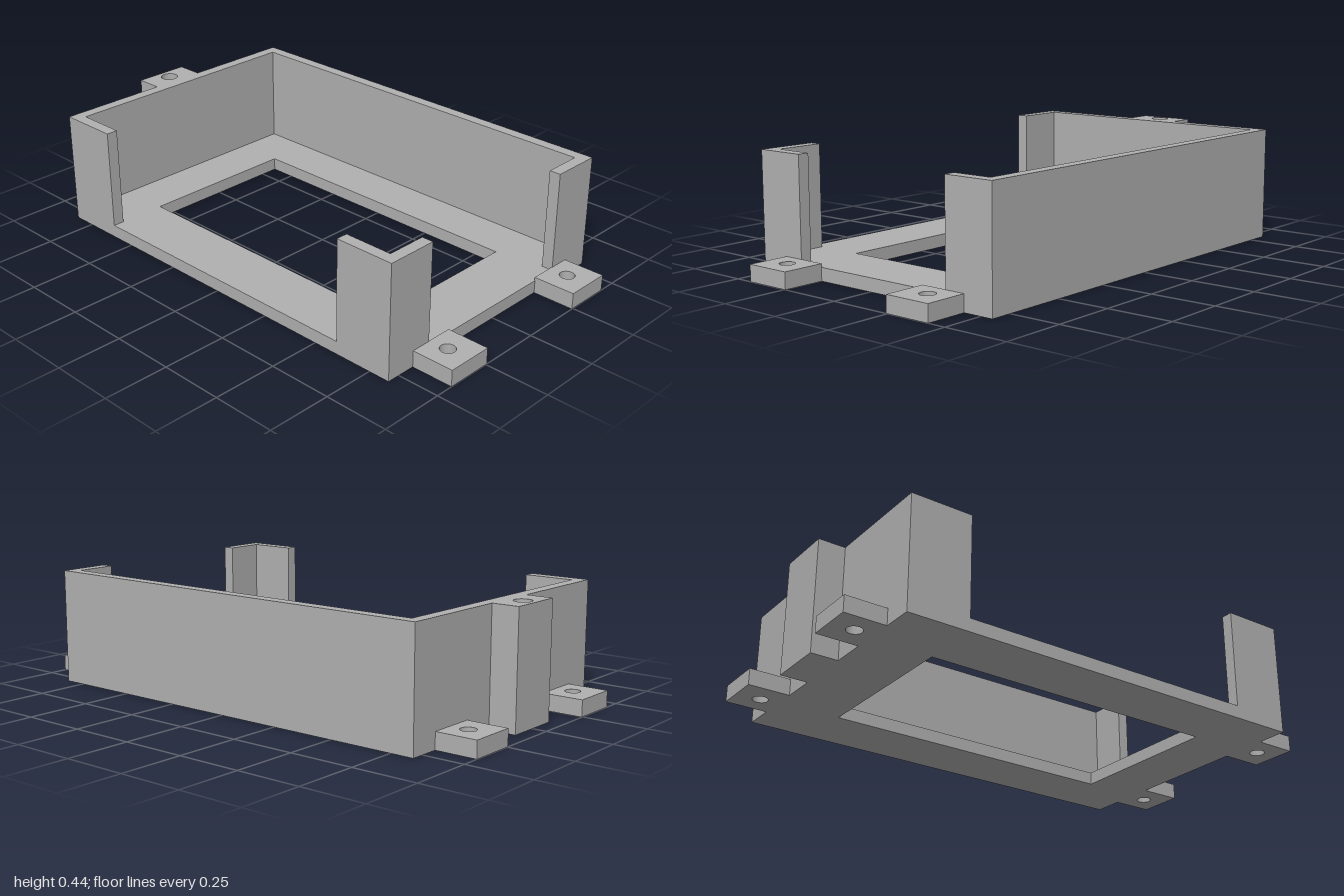
import * as THREE from 'three';

const H = 0.44;        // overall height
const FLOOR = 0.05;    // floor plate thickness
const TAB = 0.063;     // mounting tab thickness

export function createModel() {
  const group = new THREE.Group();
  const grey = new THREE.MeshStandardMaterial({ color: 0xb0b0b0 });
  grey.name = 'grey';

  // Plan outline given as [x, z] corners
  const outline = (pts) => new THREE.Shape(pts.map(([x, z]) => new THREE.Vector2(x, -z)));
  const rect = (x0, x1, z0, z1) => outline([[x0, z0], [x0, z1], [x1, z1], [x1, z0]]);
  const circle = (x, z, r) => new THREE.Path().absarc(x, -z, r, 0, Math.PI * 2, true);

  // Raise a plan outline from y0 to y1
  function slab(name, shape, y0, y1, holes = []) {
    shape.holes.push(...holes);
    const geo = new THREE.ExtrudeGeometry(shape, { depth: y1 - y0, bevelEnabled: false, curveSegments: 16 });
    geo.rotateX(-Math.PI / 2).translate(0, y0, 0);
    const mesh = new THREE.Mesh(geo, grey);
    mesh.name = name;
    group.add(mesh);
  }

  // Floor with a rectangular window
  slab('floor', rect(-0.55, 0.55, -0.84, 0.835), 0, FLOOR, [rect(-0.32, 0.32, -0.6, 0.6)]);

  // Back wall, full left wall, right rear return and left front return in one run
  slab('mainWall', outline([
    [-0.55, -0.6], [-0.505, -0.6], [-0.505, -0.795], [0.505, -0.795], [0.505, 0.79], [0.35, 0.79],
    [0.35, 0.835], [0.55, 0.835], [0.55, -0.84], [-0.55, -0.84],
  ]), FLOOR, H);

  // Free-standing corner at the right front
  slab('cornerWall', outline([
    [-0.55, 0.6], [-0.55, 0.835], [-0.35, 0.835], [-0.35, 0.79], [-0.505, 0.79], [-0.505, 0.6],
  ]), FLOOR, H);

  // Four mounting tabs with screw holes
  for (const sx of [-1, 1]) {
    for (const sz of [-1, 1]) {
      const inner = sz * 0.833;
      slab('mountingTab', rect(
        Math.min(sx * 0.245, sx * 0.43), Math.max(sx * 0.245, sx * 0.43),
        Math.min(inner, sz), Math.max(inner, sz),
      ), 0, TAB, [circle(sx * 0.34, sz * 0.908, 0.029)]);
    }
  }

  // Screw post on the back, with a blind hole from the top
  slab('postBase', rect(-0.11, 0.11, -0.945, -0.84), 0, 0.2);
  slab('postTop', rect(-0.11, 0.11, -0.945, -0.84), 0.2, H, [circle(0, -0.893, 0.034)]);

  return group;
}
